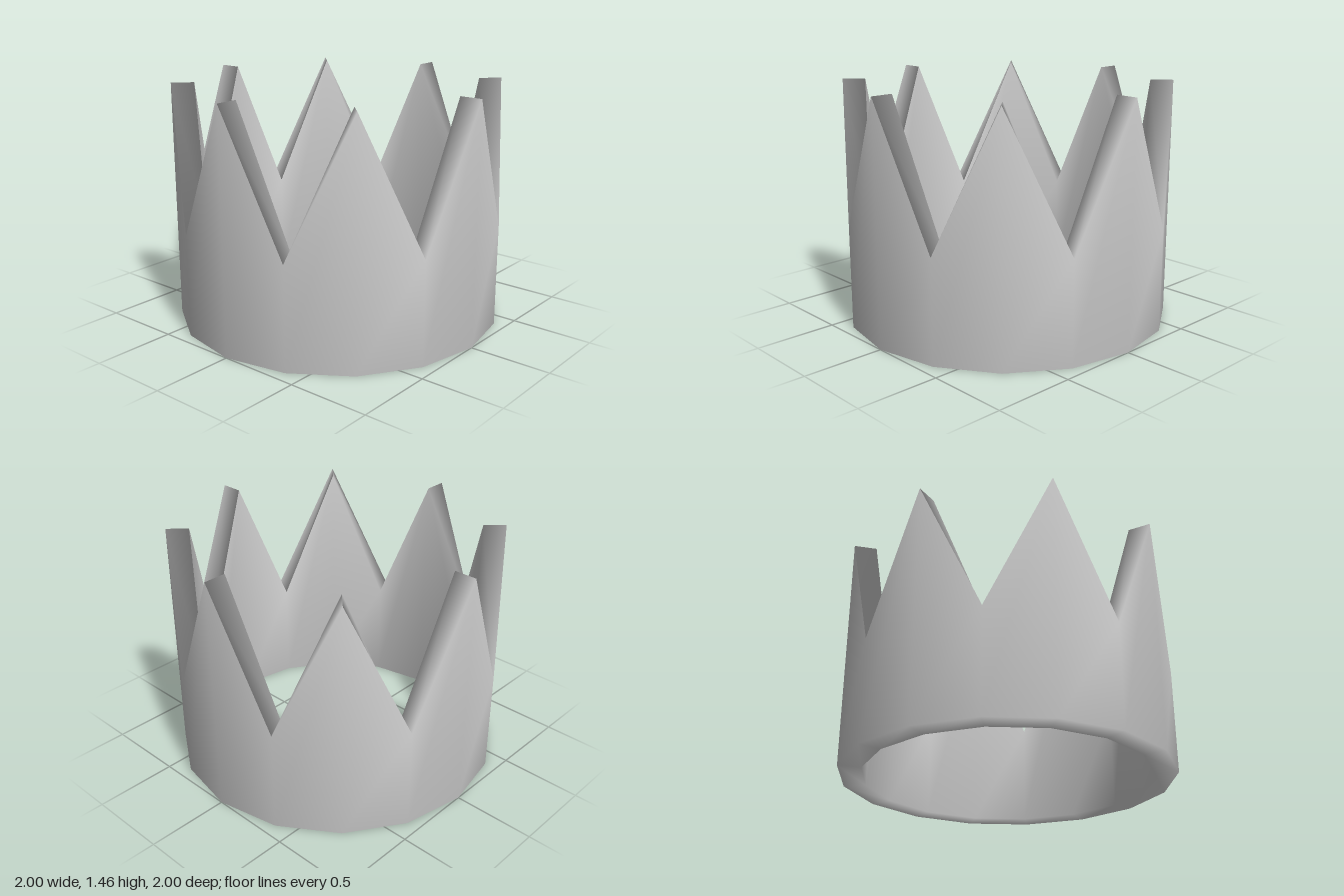
import * as THREE from 'three';

const SIDES = 16;      // eight points, eight valleys
const OUTER = 1, INNER = 0.862;
const PEAK = 1.46, VALLEY = 0.63;

// Sweep a four-corner wall section around the ring, alternating peak and valley heights
function crownGeometry() {
  const positions = [], index = [];
  for (let i = 0; i < SIDES; i++) {
    const a = (i / SIDES) * Math.PI * 2;
    const top = i % 2 === 0 ? PEAK : VALLEY;
    const section = [[OUTER, 0], [OUTER, top], [INNER, top], [INNER, 0]];
    for (const [r, y] of section) positions.push(r * Math.sin(a), y, r * Math.cos(a));

    const next = (i + 1) % SIDES;
    for (let k = 0; k < 4; k++) {
      const k2 = (k + 1) % 4;
      const p = i * 4 + k, q = next * 4 + k, r = next * 4 + k2, s = i * 4 + k2;
      index.push(p, q, r, p, r, s);
    }
  }
  const geometry = new THREE.BufferGeometry();
  geometry.setAttribute('position', new THREE.Float32BufferAttribute(positions, 3));
  geometry.setIndex(index);
  geometry.computeVertexNormals(); // shared corners give the soft shading
  return geometry;
}

export function createModel() {
  const group = new THREE.Group();
  group.name = 'crown';
  const band = new THREE.Mesh(
    crownGeometry(),
    new THREE.MeshStandardMaterial({ color: 0xcccccc })
  );
  band.name = 'pointedBand';
  group.add(band);
  return group;
}
